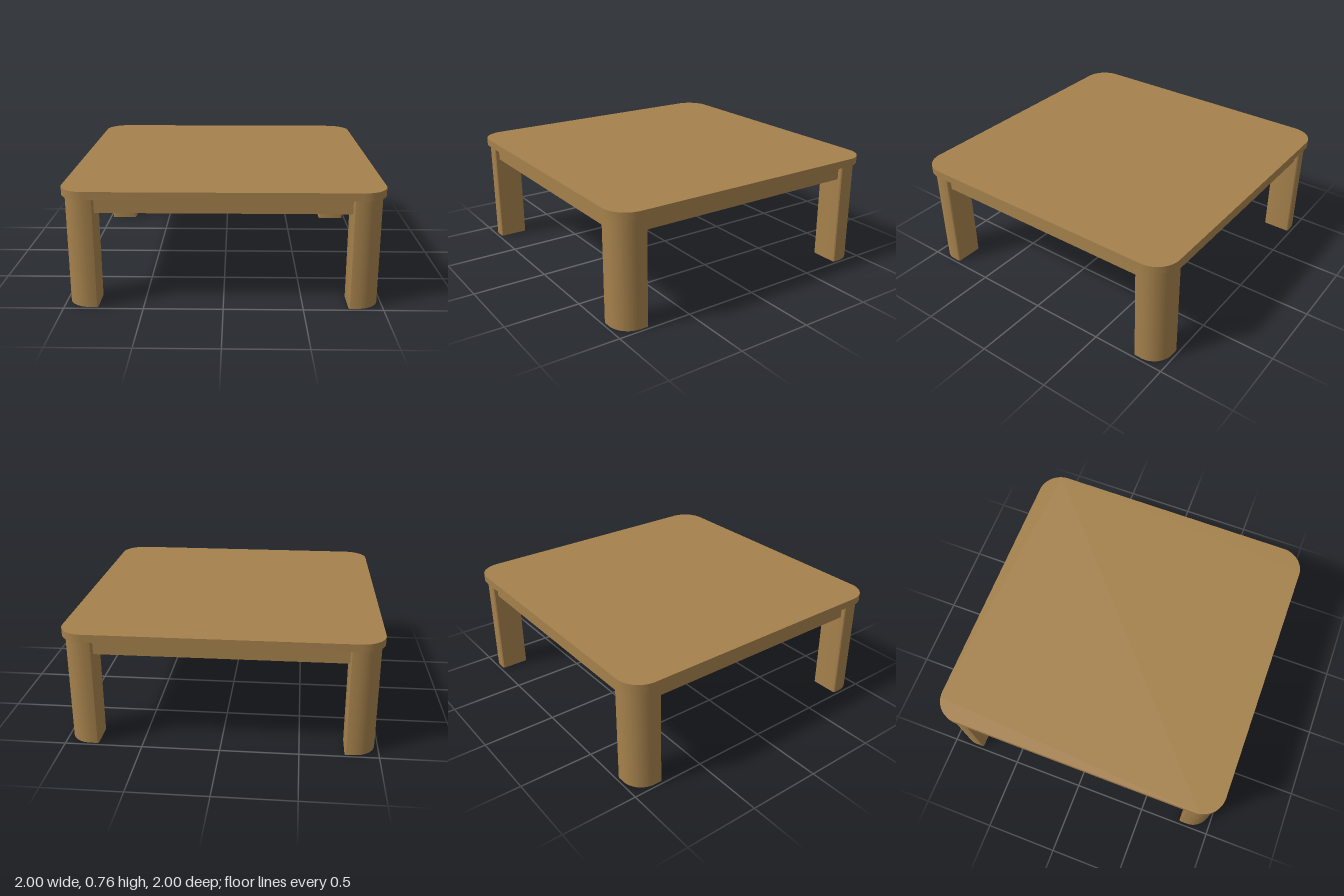
import * as THREE from 'three';
import { toCreasedNormals } from 'three/addons/utils/BufferGeometryUtils.js';

// Square outline centred on the origin; radii in order (+,+), (-,+), (-,-), (+,-)
function roundedSquare(h, radii) {
  const s = new THREE.Shape();
  [[1, 1], [-1, 1], [-1, -1], [1, -1]].forEach(([sx, sy], i) => {
    const r = radii[i];
    s.absarc(sx * (h - r), sy * (h - r), r, i * Math.PI / 2, (i + 1) * Math.PI / 2, false);
  });
  s.closePath();
  return s;
}

// Upright prism from y = 0 to y = height
function prism(shape, height) {
  const g = new THREE.ExtrudeGeometry(shape, { depth: height, bevelEnabled: false, curveSegments: 16 });
  g.rotateX(-Math.PI / 2);
  return toCreasedNormals(g, 0.6);
}

export function createModel() {
  const wood = new THREE.MeshStandardMaterial({ color: 0xa5814c });
  wood.name = 'wood';
  const metal = new THREE.MeshStandardMaterial({ color: 0x484a54 });
  metal.name = 'dark metal';

  const model = new THREE.Group();
  model.name = 'lowTable';

  const add = (parent, name, geometry, material, x = 0, y = 0, z = 0) => {
    const m = new THREE.Mesh(geometry, material);
    m.name = name;
    m.position.set(x, y, z);
    parent.add(m);
    return m;
  };
  const box = (parent, name, material, w, h, d, x, y, z) =>
    add(parent, name, new THREE.BoxGeometry(w, h, d), material, x, y, z);

  // Table top
  add(model, 'tableTop', prism(roundedSquare(1, [0.16, 0.16, 0.16, 0.16]), 0.05), wood, 0, 0.71, 0);

  // Legs with a broad rounded outer corner; the outline's first corner faces (+x, -z)
  const legGeometry = prism(roundedSquare(0.0975, [0.14, 0.012, 0.012, 0.012]), 0.71);
  [[1, -1], [-1, -1], [-1, 1], [1, 1]].forEach(([sx, sz], i) => {
    add(model, 'leg', legGeometry, wood, sx * 0.8825, 0, sz * 0.8825).rotation.y = i * Math.PI / 2;
  });

  // Aprons between the legs, and cross bars under the top
  for (const s of [-1, 1]) {
    box(model, 'apron', wood, 1.58, 0.097, 0.08, 0, 0.6615, s * 0.91);
    box(model, 'apron', wood, 0.08, 0.097, 1.58, s * 0.91, 0.6615, 0);
    box(model, 'crossBar', wood, 1.76, 0.05, 0.06, 0, 0.685, s * 0.31);
    box(model, 'crossBar', wood, 0.06, 0.049, 1.76, s * 0.31, 0.6855, 0);
  }

  // Heater unit in the middle cell
  const heater = new THREE.Group();
  heater.name = 'heater';
  model.add(heater);
  box(heater, 'heaterPlate', metal, 0.56, 0.03, 0.56, 0, 0.693, 0);
  for (let side = 0; side < 4; side++) {
    const edge = new THREE.Group();
    edge.name = 'grilleEdge';
    edge.rotation.y = side * Math.PI / 2;
    heater.add(edge);
    box(edge, 'outerRim', metal, 0.56, 0.032, 0.02, 0, 0.664, 0.27);
    box(edge, 'innerRim', metal, 0.42, 0.03, 0.012, 0, 0.665, 0.205);
    for (let i = 0; i < 17; i++) {
      box(edge, 'edgeSlat', metal, 0.012, 0.026, 0.055, (i - 8) * 0.029, 0.666, 0.235);
    }
  }

  // Radial fins and hub rings
  for (let i = 0; i < 24; i++) {
    const spoke = new THREE.Group();
    spoke.name = 'spoke';
    spoke.rotation.y = i * Math.PI / 12;
    heater.add(spoke);
    box(spoke, 'fin', metal, 0.14, 0.026, 0.012, 0.13, 0.666, 0);
  }
  for (const r of [0.03, 0.06, 0.195]) {
    add(heater, 'grilleRing', new THREE.TorusGeometry(r, 0.008, 8, 40), metal, 0, 0.656, 0).rotation.x = Math.PI / 2;
  }
  add(heater, 'hub', new THREE.CylinderGeometry(0.018, 0.018, 0.03, 20), metal, 0, 0.665, 0);

  return model;
}
